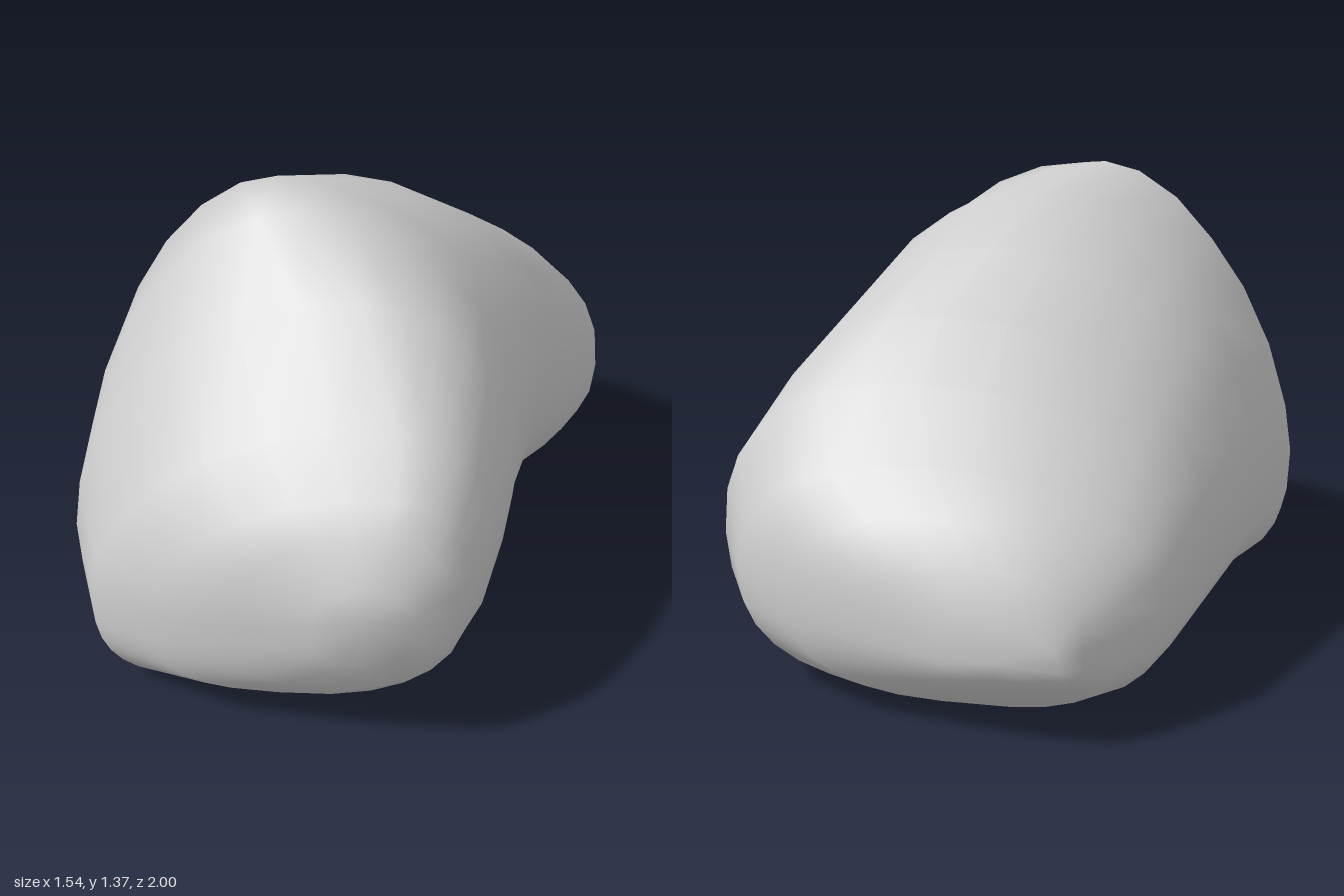
import * as THREE from 'three';

// Cross-sections from front to back:
// z, xLeft, xRight, yBottom, yTop, xOfTop, xOfBottom, yOfLeft, yOfRight
const SECTIONS = [
  [0.985, -0.02, 0.26, 0.36, 0.61, 0.14, 0.12, 0.48, 0.51],
  [0.92, -0.26, 0.36, 0.22, 0.74, 0.18, 0.02, 0.42, 0.50],
  [0.86, -0.47, 0.40, 0.13, 0.81, 0.20, -0.12, 0.38, 0.51],
  [0.73, -0.67, 0.45, 0.05, 0.94, 0.19, -0.38, 0.34, 0.53],
  [0.48, -0.77, 0.50, 0.03, 1.17, 0.08, -0.42, 0.38, 0.58],
  [0.28, -0.77, 0.52, 0.04, 1.34, -0.11, -0.32, 0.43, 0.63],
  [0.13, -0.75, 0.55, 0.055, 1.37, -0.20, -0.15, 0.45, 0.65],
  [-0.05, -0.70, 0.58, 0.075, 1.30, -0.03, -0.05, 0.45, 0.60],
  [-0.22, -0.66, 0.63, 0.05, 1.17, 0.06, 0.05, 0.43, 0.51],
  [-0.42, -0.61, 0.71, 0.01, 1.01, 0.16, 0.17, 0.41, 0.42],
  [-0.58, -0.57, 0.77, 0.00, 0.86, 0.17, 0.20, 0.38, 0.38],
  [-0.76, -0.52, 0.66, 0.03, 0.69, 0.10, 0.15, 0.34, 0.34],
  [-0.87, -0.43, 0.48, 0.07, 0.59, 0.02, 0.05, 0.32, 0.32],
  [-0.95, -0.35, 0.24, 0.16, 0.49, -0.05, -0.05, 0.30, 0.30],
  [-0.99, -0.29, 0.04, 0.21, 0.35, -0.12, -0.12, 0.27, 0.27],
];
const SIDES = 28;

// One rounded quarter curve per quadrant, joining the four extreme points
function sectionPoint([z, xl, xr, yb, yt, xt, xb, yl, yr], angle) {
  const c = Math.cos(angle), s = Math.sin(angle);
  const right = c >= 0, up = s >= 0;
  // The top is sharpest at the peak and squarer towards both ends
  const away = Math.min(1, Math.abs(z - 0.12) / 0.5);
  const spread = right ? 0.55 : (z > 0 ? 0.05 : 0.35);
  const n = up ? 1.8 + spread * away : (right ? 2.4 : 3.2);
  const cx = up ? xt : xb, cy = right ? yr : yl;
  const u = Math.abs(c) ** (2 / n), v = Math.abs(s) ** (2 / n);
  return [cx + ((right ? xr : xl) - cx) * u, cy + ((up ? yt : yb) - cy) * v, z];
}

export function createModel() {
  const positions = [], index = [];
  for (const section of SECTIONS) {
    for (let i = 0; i < SIDES; i++) {
      positions.push(...sectionPoint(section, (i / SIDES) * Math.PI * 2));
    }
  }

  // Skin between neighbouring sections
  const last = (SECTIONS.length - 1) * SIDES;
  for (let r = 0; r < last; r += SIDES) {
    for (let i = 0; i < SIDES; i++) {
      const j = (i + 1) % SIDES;
      const a = r + i, b = r + j, c = a + SIDES, d = b + SIDES;
      index.push(a, c, b, b, c, d);
    }
  }

  // Front and back tips
  const front = positions.length / 3, back = front + 1;
  positions.push(0.13, 0.52, 1, -0.12, 0.26, -1);
  for (let i = 0; i < SIDES; i++) {
    const j = (i + 1) % SIDES;
    index.push(front, i, j, back, last + j, last + i);
  }

  const geometry = new THREE.BufferGeometry();
  geometry.setAttribute('position', new THREE.Float32BufferAttribute(positions, 3));
  geometry.setIndex(index);
  geometry.computeVertexNormals();

  const boulder = new THREE.Mesh(geometry, new THREE.MeshStandardMaterial({ color: 0xcccccc }));
  boulder.name = 'boulder';
  const group = new THREE.Group();
  group.name = 'rock';
  group.add(boulder);
  return group;
}
